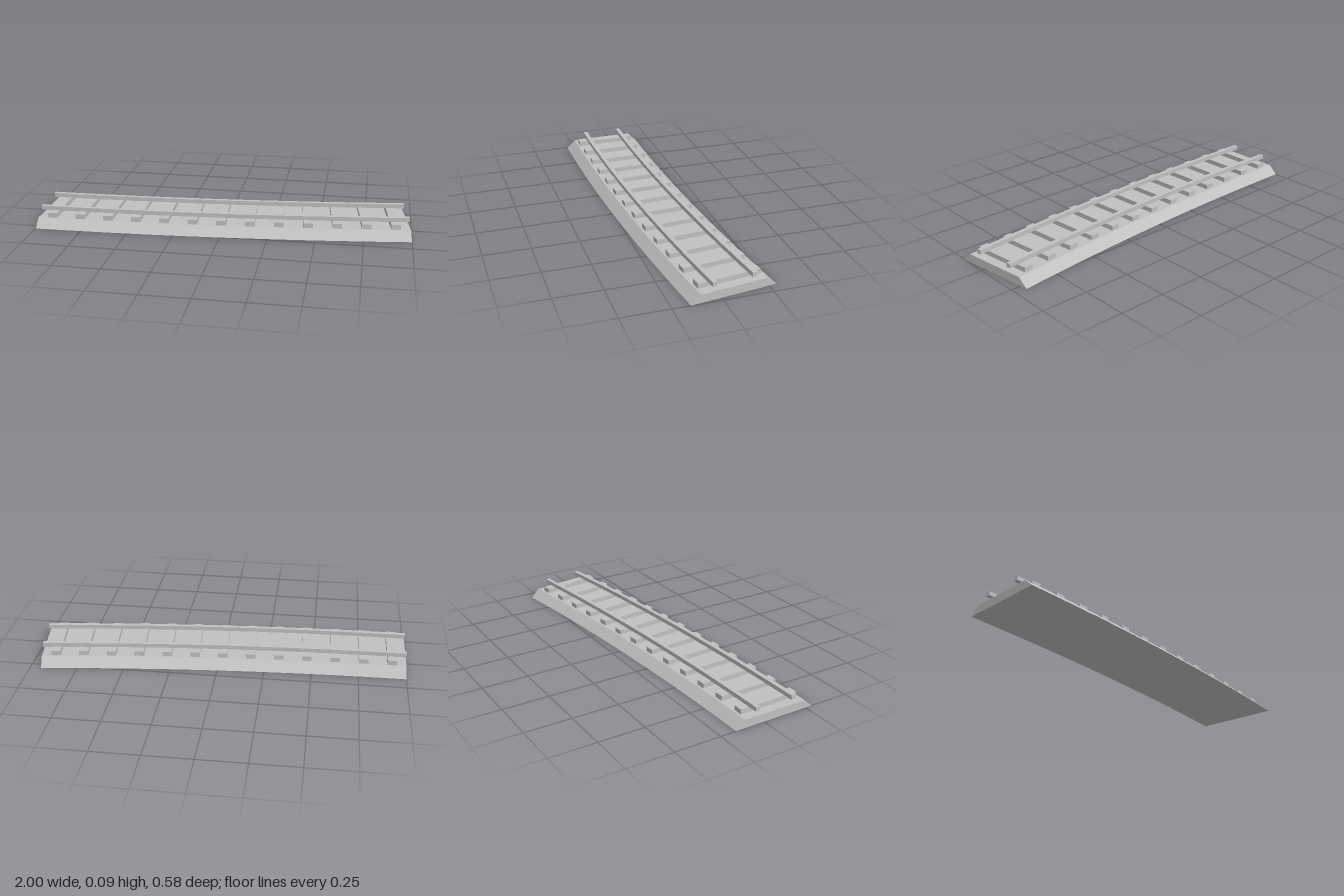
import * as THREE from 'three';

// The track bends along an arc: radius, total angle and start of the centre line
const R = 15.096, ANGLE = THREE.MathUtils.degToRad(7.5), X0 = -1, Z0 = 0.0635;
const SEGMENTS = 13, SLEEPERS = 13;

// Point at angle a, sideways offset v from the centre line, height y
const onArc = (a, v, y) => [X0 + (R + v) * Math.sin(a), y, Z0 - R + (R + v) * Math.cos(a)];

// Sweep a convex, counter-clockwise [offset, height] profile along the arc, with end caps
function sweep(profile) {
  const n = profile.length, pos = [], index = [];
  for (let s = 0; s <= SEGMENTS; s++)
    for (const [v, y] of profile) pos.push(...onArc(ANGLE * s / SEGMENTS, v, y));
  for (let s = 0; s < SEGMENTS; s++)
    for (let i = 0; i < n; i++) {
      const j = (i + 1) % n, p = s * n, q = p + n;
      index.push(p + i, q + i, q + j, p + i, q + j, p + j);
    }
  const e = SEGMENTS * n;
  for (let i = 1; i < n - 1; i++) index.push(0, i, i + 1, e, e + i + 1, e + i);
  const indexed = new THREE.BufferGeometry();
  indexed.setAttribute('position', new THREE.Float32BufferAttribute(pos, 3));
  indexed.setIndex(index);
  const geo = indexed.toNonIndexed();
  geo.computeVertexNormals();
  return geo;
}

export function createModel() {
  const group = new THREE.Group();
  group.name = 'curvedTrack';
  const grey = new THREE.MeshStandardMaterial({ color: 0xc0c0c0 });
  grey.name = 'light grey';

  const add = (name, geo, parent = group) => {
    const mesh = new THREE.Mesh(geo, grey);
    mesh.name = name;
    parent.add(mesh);
    return mesh;
  };

  // Ballast bed with sloping shoulders
  add('ballastBed', sweep([[-0.2265, 0], [0.2265, 0], [0.177, 0.045], [-0.177, 0.045]]));

  // Two rails resting on the sleepers
  for (const [name, v] of [['frontRail', 0.1055], ['backRail', -0.1055]]) {
    const w = 0.0115;
    add(name, sweep([[v - w, 0.07], [v + w, 0.07], [v + w, 0.0925], [v - w, 0.0925]]));
  }

  // Evenly spaced sleepers, square to the arc
  const sleepers = new THREE.Group();
  sleepers.name = 'sleepers';
  group.add(sleepers);
  const sleeperGeo = new THREE.BoxGeometry(0.05, 0.026, 0.33);
  for (let i = 0; i < SLEEPERS; i++) {
    const a = ANGLE * (i + 0.5) / SLEEPERS;
    const sleeper = add('sleeper', sleeperGeo, sleepers);
    sleeper.position.set(...onArc(a, 0, 0.0575));
    sleeper.rotation.y = a;
  }
  return group;
}
